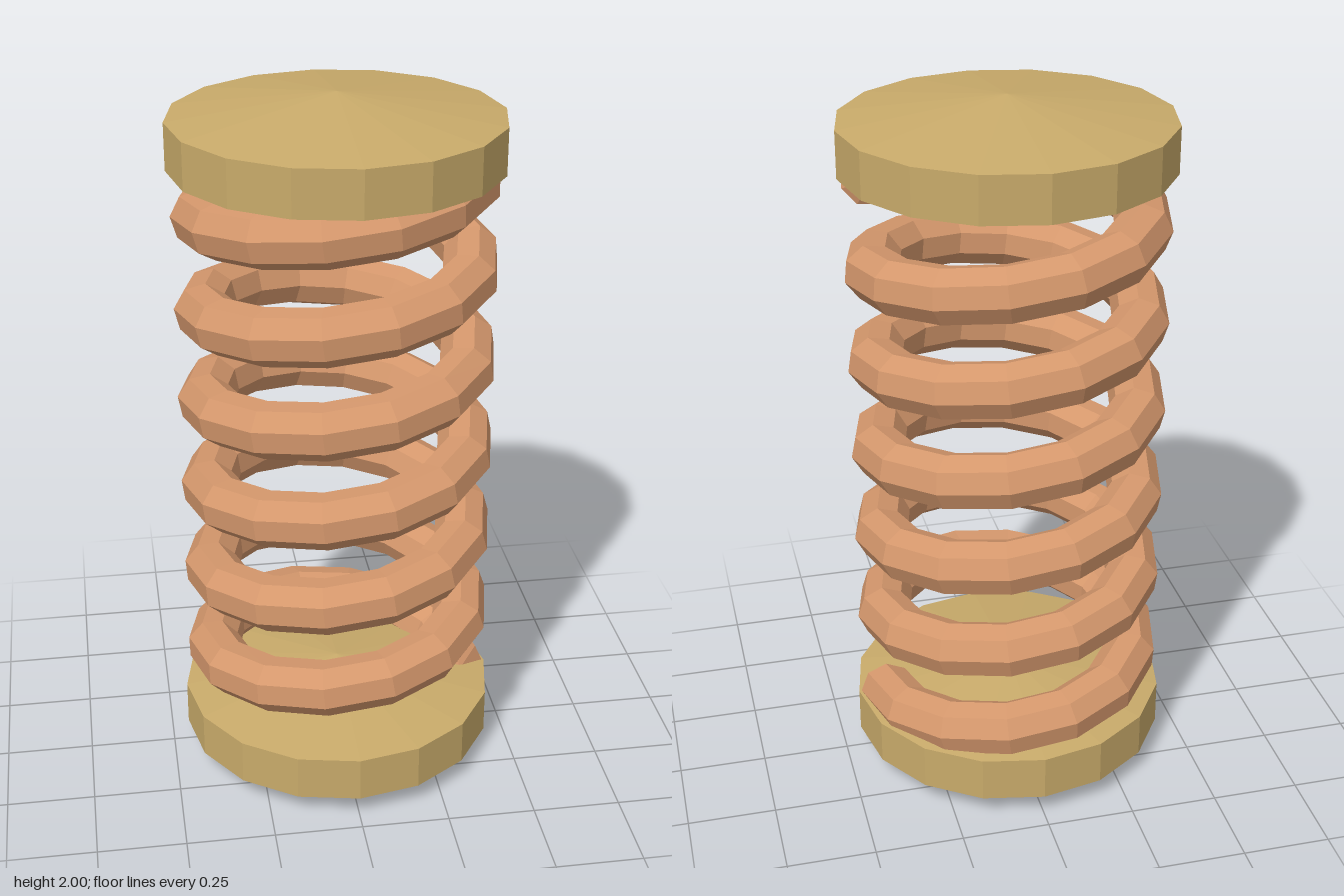
import * as THREE from 'three';
import { mergeGeometries } from 'three/addons/utils/BufferGeometryUtils.js';

const TURNS = 6, COIL_RADIUS = 0.37, WIRE_RADIUS = 0.078, SIDES = 8, SEGMENTS = 84;
const START_Y = 0.2, END_Y = 1.805, TIP = 0.04;

// Helix that starts on the +x side and climbs by way of the back
class Helix extends THREE.Curve {
  getPoint(t, target = new THREE.Vector3()) {
    const a = t * TURNS * Math.PI * 2;
    return target.set(
      COIL_RADIUS * Math.cos(a),
      THREE.MathUtils.lerp(START_Y, END_Y, t),
      -COIL_RADIUS * Math.sin(a)
    );
  }
}

// Faceted look: every triangle gets its own normal
function faceted(geometry) {
  const g = geometry.index ? geometry.toNonIndexed() : geometry;
  g.deleteAttribute('uv');
  g.computeVertexNormals();
  return g;
}

// Shallow cone closing one end of the wire
function wireTip(tube, curve, atEnd) {
  const pos = tube.attributes.position;
  const first = atEnd ? SEGMENTS * (SIDES + 1) : 0;
  const t = atEnd ? 1 : 0;
  const apex = curve.getPointAt(t).addScaledVector(curve.getTangentAt(t), atEnd ? TIP : -TIP);
  const points = [];
  for (let j = 0; j < SIDES; j++) {
    const a = new THREE.Vector3().fromBufferAttribute(pos, first + j);
    const b = new THREE.Vector3().fromBufferAttribute(pos, first + j + 1);
    points.push(apex, ...(atEnd ? [b, a] : [a, b]));
  }
  return faceted(new THREE.BufferGeometry().setFromPoints(points));
}

export function createModel() {
  const brass = new THREE.MeshStandardMaterial({ color: 0xc8aa6a });
  brass.name = 'brass';
  const copper = new THREE.MeshStandardMaterial({ color: 0xd4976c });
  copper.name = 'copper';

  const model = new THREE.Group();
  model.name = 'coilSpring';

  // End plates: sixteen-sided discs with low conical faces
  const profile = [[0, -0.13], [0.455, -0.065], [0.455, 0.065], [0, 0.13]]
    .map(([x, y]) => new THREE.Vector2(x, y));
  const plateGeometry = faceted(new THREE.LatheGeometry(profile, 16));
  for (const [name, y] of [['bottomPlate', 0.133], ['topPlate', 1.87]]) {
    const plate = new THREE.Mesh(plateGeometry, brass);
    plate.name = name;
    plate.position.y = y;
    model.add(plate);
  }

  // Coil wire with both tips
  const curve = new Helix();
  curve.arcLengthDivisions = 600;
  const tube = new THREE.TubeGeometry(curve, SEGMENTS, WIRE_RADIUS, SIDES, false);
  const coil = new THREE.Mesh(
    mergeGeometries([faceted(tube), wireTip(tube, curve, false), wireTip(tube, curve, true)]),
    copper
  );
  coil.name = 'coil';
  model.add(coil);

  return model;
}
